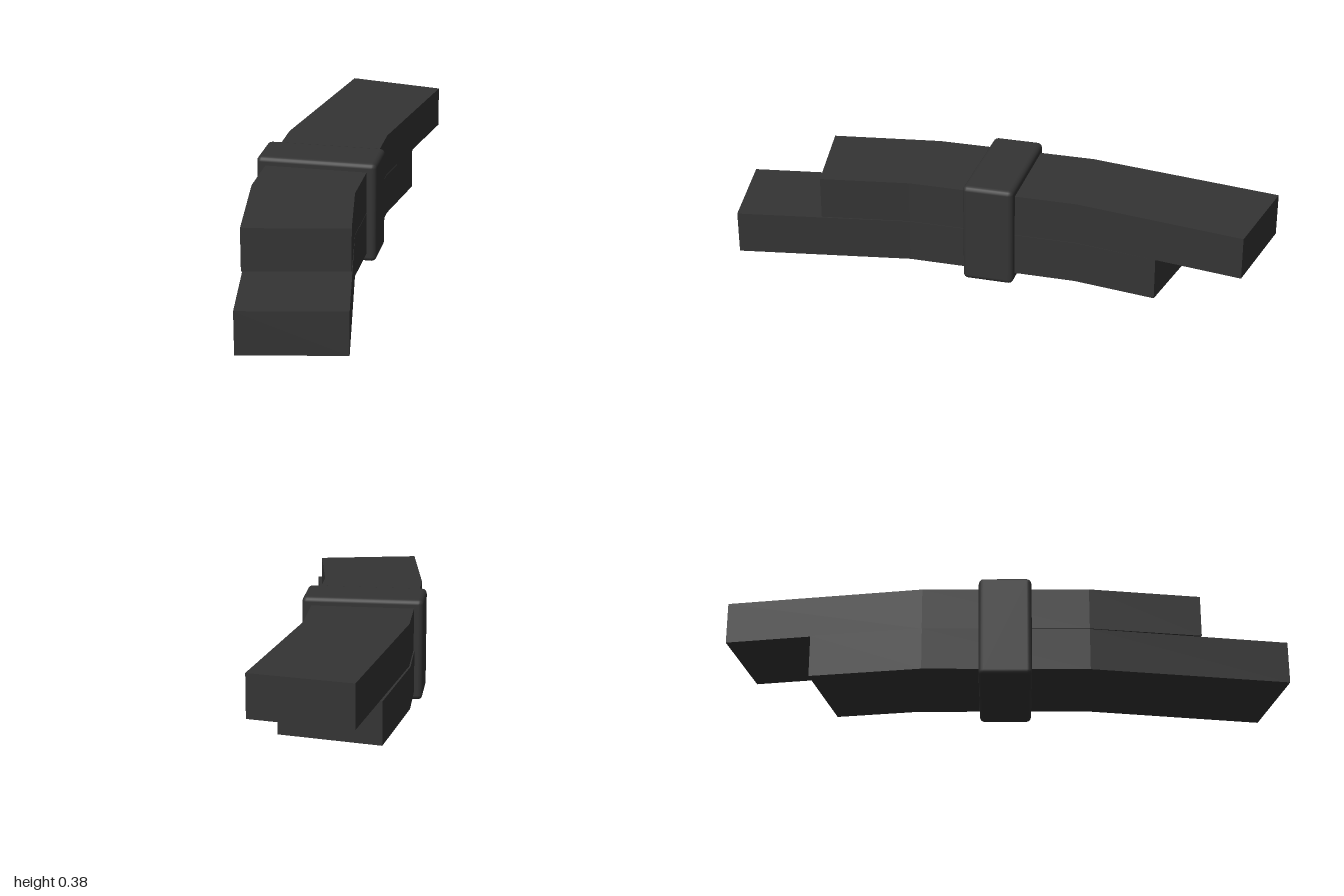
import * as THREE from 'three';
import { RoundedBoxGeometry } from 'three/addons/geometries/RoundedBoxGeometry.js';

const charcoal = new THREE.MeshStandardMaterial({ color: 0x343434 });
charcoal.name = 'charcoal';

// Bent flat bar: plan outline of [x, z] points, raised from bottom to top
function bentBar(name, outline, bottom, top) {
  const shape = new THREE.Shape(outline.map(([x, z]) => new THREE.Vector2(x, -z)));
  const geometry = new THREE.ExtrudeGeometry(shape, { depth: top - bottom, bevelEnabled: false });
  geometry.rotateX(-Math.PI / 2);
  geometry.translate(0, bottom, 0);
  const mesh = new THREE.Mesh(geometry, charcoal);
  mesh.name = name;
  return mesh;
}

export function createModel() {
  const group = new THREE.Group();
  group.name = 'coupledBars';

  // Lower bar reaches further forward
  group.add(bentBar('lowerBar', [
    [-0.37, 1], [0.005, 1], [0.022, 0.35], [0.145, -0.27],
    [0.25, -0.56], [-0.097, -0.705], [-0.235, -0.32], [-0.345, 0.27],
  ], 0.033, 0.191));

  // Upper bar reaches further back
  group.add(bentBar('upperBar', [
    [-0.363, 0.68], [0.011, 0.68], [0.022, 0.35], [0.145, -0.27],
    [0.366, -0.86], [0.02, -1], [-0.23, -0.32], [-0.345, 0.27],
  ], 0.193, 0.35));

  // Rounded band wrapped around both bars
  const band = new THREE.Mesh(new RoundedBoxGeometry(0.445, 0.381, 0.19, 2, 0.018), charcoal);
  band.name = 'band';
  band.position.set(-0.102, 0.1905, 0.01);
  band.rotation.y = -0.197;
  group.add(band);

  return group;
}
